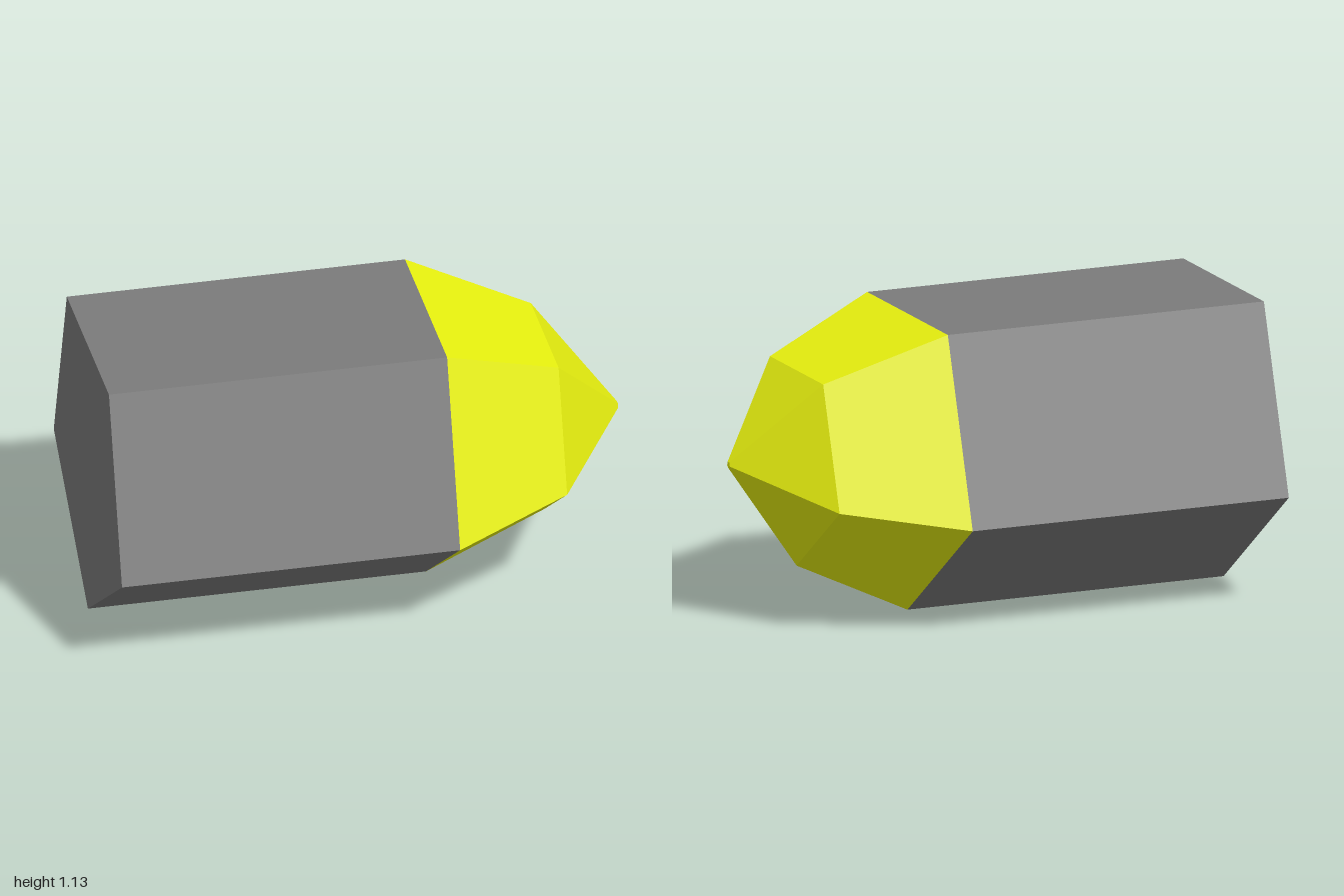
import * as THREE from 'three';

const RADIUS = 0.622; // pentagon circumradius, also the height of the axis

// Five-sided solid along x, one edge pointing down; profile is [radius, x]
function pentagonal(name, profile, color) {
  const points = profile.map(([r, x]) => new THREE.Vector2(r, x));
  const geometry = new THREE.LatheGeometry(points, 5, Math.PI / 2);
  geometry.rotateZ(-Math.PI / 2);
  const material = new THREE.MeshStandardMaterial({ color, flatShading: true });
  const mesh = new THREE.Mesh(geometry, material);
  mesh.name = name;
  mesh.position.y = RADIUS;
  return mesh;
}

export function createModel() {
  const group = new THREE.Group();
  group.name = 'pentagonalProjectile';

  // Straight casing with a closed back end
  group.add(pentagonal('casing', [[0, -1], [RADIUS, -1], [RADIUS, 0.277]], 0x7b7b7b));

  // Two-step tapered nose with a tiny blunt end
  group.add(pentagonal('nose', [[RADIUS, 0.277], [0.41, 0.725], [0.013, 1], [0, 1]], 0xe9f20f));

  return group;
}
